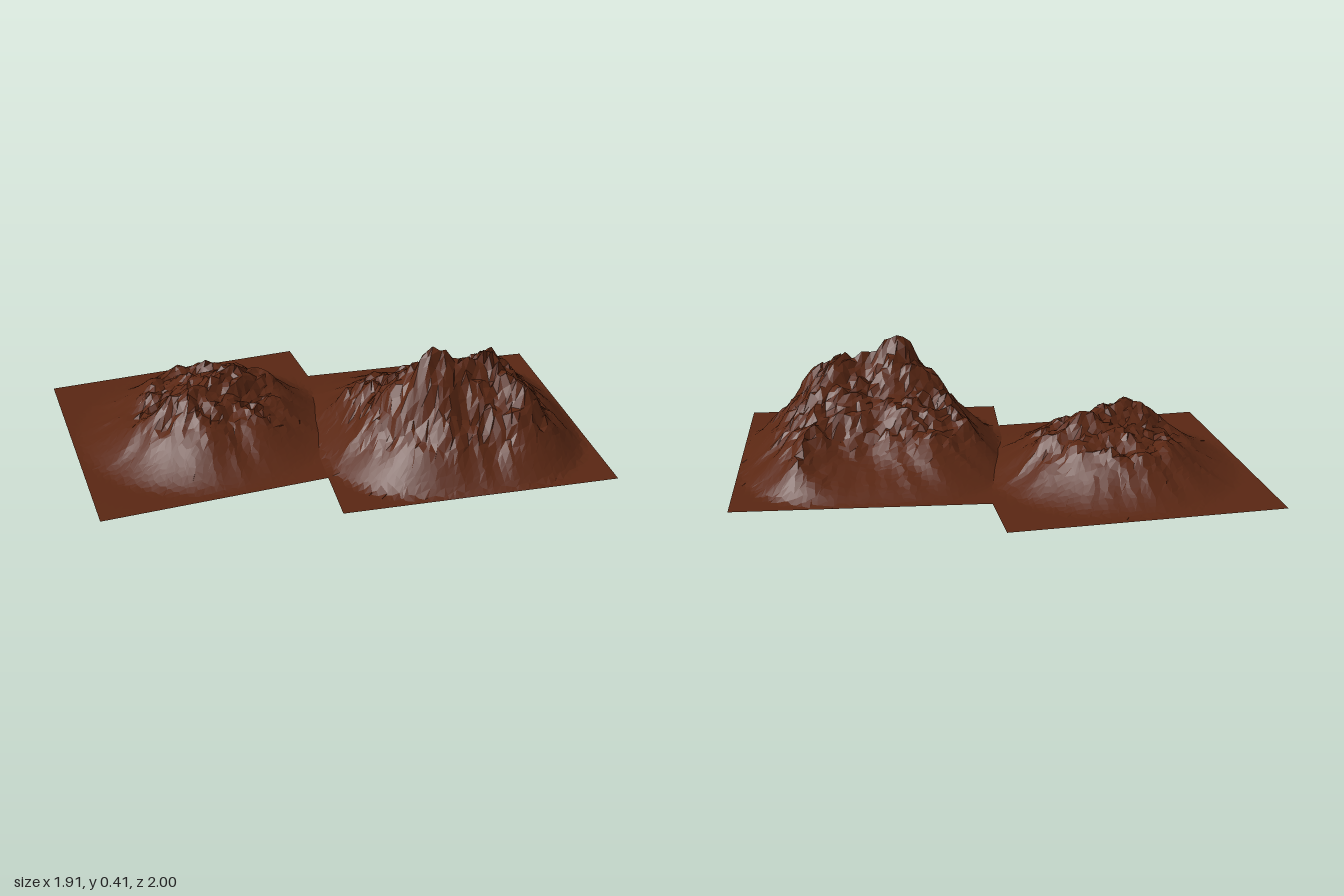
import * as THREE from 'three';

const rock = new THREE.MeshStandardMaterial({ color: 0x5a2713, flatShading: true, side: THREE.DoubleSide });

// Repeatable lattice value in 0..1
function hash(i, j) {
  let n = Math.imul(i, 374761393) + Math.imul(j, 668265263);
  n = Math.imul(n ^ (n >>> 13), 1274126177);
  return ((n ^ (n >>> 16)) >>> 0) / 4294967295;
}

// Smooth value noise in -1..1
function noise(x, y) {
  const i = Math.floor(x), j = Math.floor(y);
  const s = (t) => t * t * (3 - 2 * t);
  const a = s(x - i), b = s(y - j), mix = THREE.MathUtils.lerp;
  return 2 * mix(mix(hash(i, j), hash(i + 1, j), a), mix(hash(i, j + 1), hash(i + 1, j + 1), a), b) - 1;
}

// Nearest point on a ridge segment: distance and crest height
function toSegment(x, z, [ax, az, ah], [bx, bz, bh]) {
  const dx = bx - ax, dz = bz - az;
  const t = THREE.MathUtils.clamp(((x - ax) * dx + (z - az) * dz) / (dx * dx + dz * dz), 0, 1);
  return [Math.hypot(x - ax - t * dx, z - az - t * dz), ah + t * (bh - ah)];
}

// A square sheet of ground raised into ridges that fall away to a rounded foot
function mountain({ name, center, size, angle, foot, footPower, slope, rough, ridges, hollows }) {
  const n = 48, step = size / n;
  const geo = new THREE.PlaneGeometry(size, size, n, n).rotateX(-Math.PI / 2);
  const p = geo.attributes.position;
  const c = Math.cos(angle), s = Math.sin(angle);
  for (let k = 0; k < p.count; k++) {
    let u = p.getX(k), v = p.getZ(k);
    // irregular facets inside a straight border
    if (Math.max(Math.abs(u), Math.abs(v)) < size / 2 - step / 2) {
      u += (hash(k, 11) - 0.5) * step * 0.8;
      v += (hash(k, 29) - 0.5) * step * 0.8;
    }
    const x = center[0] + u * c - v * s, z = center[1] + u * s + v * c;
    const r = (Math.abs(u / foot) ** footPower + Math.abs(v / foot) ** footPower) ** (1 / footPower);
    const inside = Math.max(0, 1 - r) * foot;
    let y = 0;
    if (inside > 0) {
      // the slope eases out into the flat ground
      const e = inside * inside / (inside + 0.02);
      for (const line of ridges) {
        for (let i = 0; i + 1 < line.length; i++) {
          const [d, h] = toSegment(x, z, line[i], line[i + 1]);
          y = Math.max(y, h * (e / (d + e)) ** slope);
        }
      }
      for (const [hx, hz, hr, depth] of hollows) {
        y *= 1 - depth * Math.exp(-((x - hx) ** 2 + (z - hz) ** 2) / (hr * hr));
      }
      // gullies running down the flanks, then crags on the heights
      const a = Math.atan2(v, u);
      const gully = Math.abs(noise(a * 5 + 40, r * 2.5 + 7)) - 0.35;
      const crag = noise(x * 11 + 50, z * 11 + 50) * 0.5 + noise(x * 24 + 90, z * 24 + 90) * 0.6
        + (hash(k, 71) - 0.5) * 0.4;
      const high = THREE.MathUtils.smoothstep(y, 0.06, 0.17);
      y = Math.max(0, y - gully * Math.min(1, r * 2) * y * 0.22 + crag * high * rough);
    }
    p.setXYZ(k, x, y, z);
  }
  geo.computeVertexNormals();
  const mesh = new THREE.Mesh(geo, rock);
  mesh.name = name;
  return mesh;
}

export function createModel() {
  const group = new THREE.Group();
  group.name = 'mountains';

  // Tall horseshoe mountain, its valley opening to the back and left
  group.add(mountain({
    name: 'tallMountain', center: [0.275, 0.318], size: 0.972, angle: 0.652,
    foot: 0.49, footPower: 2.9, slope: 1.1, rough: 0.035,
    hollows: [[0.47, 0.1, 0.16, 0.4], [-0.12, 0.36, 0.1, 0.12]],
    ridges: [
      [[0.07, 0.08, 0.18], [0.06, 0.25, 0.27], [0.09, 0.38, 0.39], [0.18, 0.44, 0.345], [0.29, 0.5, 0.35],
        [0.38, 0.45, 0.315], [0.48, 0.37, 0.225], [0.58, 0.3, 0.185], [0.68, 0.21, 0.13]],
      [[0.29, 0.5, 0.35], [0.3, 0.62, 0.3]],
      [[0.09, 0.38, 0.37], [-0.01, 0.37, 0.24]],
    ],
  }));

  // Low broad mountain with a lower shoulder at the back
  group.add(mountain({
    name: 'lowMountain', center: [-0.29, -0.34], size: 0.965, angle: 0.533,
    foot: 0.475, footPower: 2.1, slope: 1.35, rough: 0.027,
    hollows: [],
    ridges: [
      [[-0.45, -0.2, 0.17], [-0.43, -0.3, 0.23], [-0.31, -0.3, 0.23], [-0.19, -0.31, 0.215], [-0.08, -0.29, 0.2]],
      [[-0.43, -0.3, 0.2], [-0.46, -0.42, 0.14], [-0.33, -0.57, 0.135], [-0.2, -0.58, 0.135], [-0.08, -0.44, 0.15],
        [-0.08, -0.29, 0.19]],
      [[-0.31, -0.3, 0.21], [-0.27, -0.45, 0.16], [-0.27, -0.57, 0.135]],
      [[-0.31, -0.3, 0.21], [-0.28, -0.13, 0.14], [-0.13, -0.16, 0.14]],
    ],
  }));
  return group;
}
